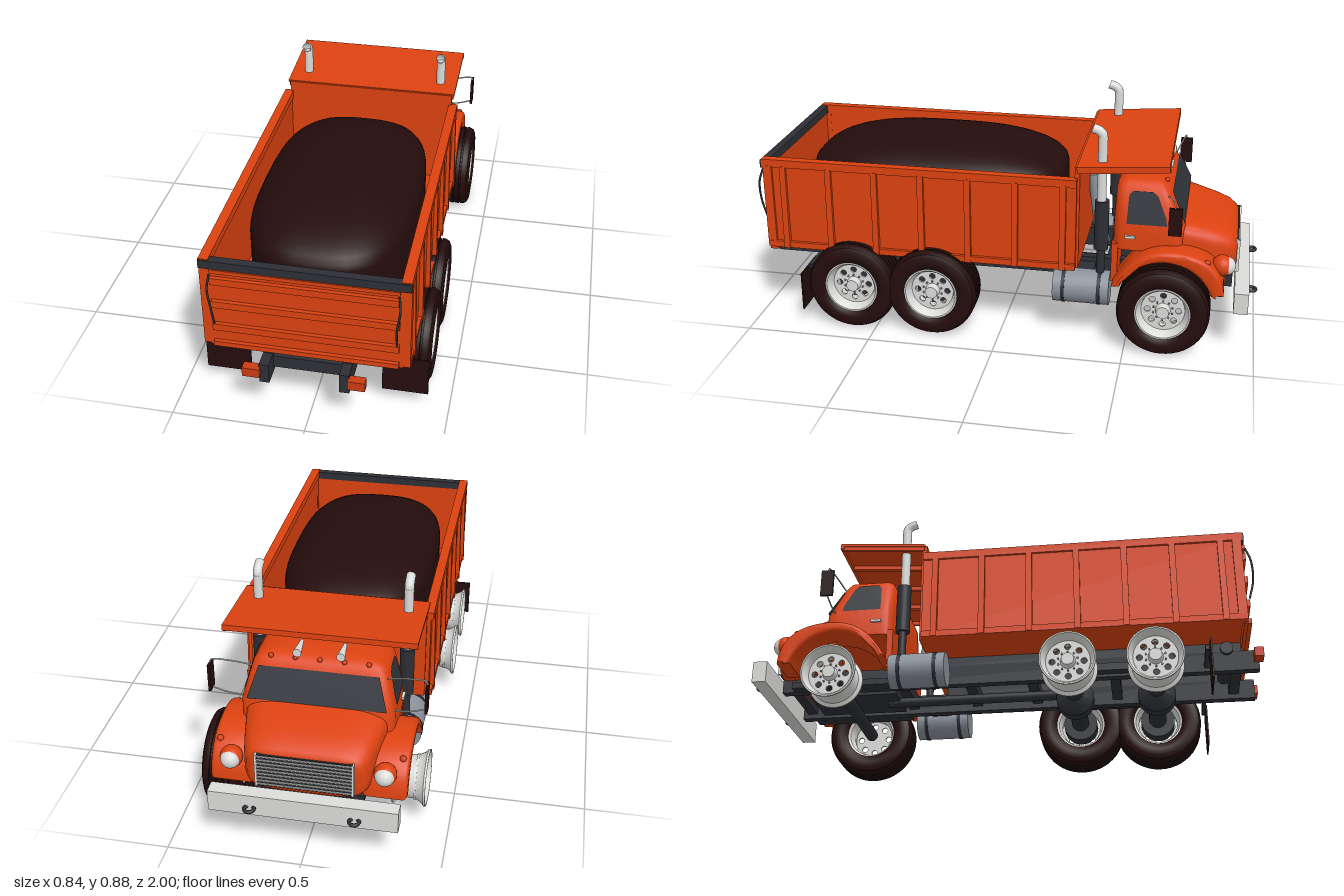
import * as THREE from 'three';
import { toCreasedNormals } from 'three/addons/utils/BufferGeometryUtils.js';

const mat = (name, color, side = THREE.FrontSide) => {
  const m = new THREE.MeshStandardMaterial({ color, side });
  m.name = name;
  return m;
};

export function createModel() {
  const truck = new THREE.Group();
  truck.name = 'dumpTruck';
  const paint = mat('orangePaint', 0xdc4210, THREE.DoubleSide);
  const lampMat = mat('lampOrange', 0xc93c14);
  const dark = mat('darkSteel', 0x2d2f35);
  const rubber = mat('rubber', 0x240c0c, THREE.DoubleSide);
  const chrome = mat('chrome', 0xdcdcda, THREE.DoubleSide);
  const steel = mat('greySteel', 0x8b929b);
  const glass = mat('darkGlass', 0x2f3238, THREE.DoubleSide);

  const add = (name, geo, m, x = 0, y = 0, z = 0, parent = truck) => {
    const mesh = new THREE.Mesh(geo, m);
    mesh.name = name;
    mesh.position.set(x, y, z);
    parent.add(mesh);
    return mesh;
  };
  // box given by its min and max on each axis
  const box = (name, m, x0, x1, y0, y1, z0, z1) =>
    add(name, new THREE.BoxGeometry(x1 - x0, y1 - y0, z1 - z0), m, (x0 + x1) / 2, (y0 + y1) / 2, (z0 + z1) / 2);
  const cyl = (r, len, axis = 'y', r2 = r) => {
    const g = new THREE.CylinderGeometry(r, r2, len, 24);
    if (axis === 'x') g.rotateZ(-Math.PI / 2);
    if (axis === 'z') g.rotateX(Math.PI / 2);
    return g;
  };
  const tube = (name, m, pts, r) => add(name, new THREE.TubeGeometry(
    new THREE.CatmullRomCurve3(pts.map(p => new THREE.Vector3(...p))), 20, r, 10), m);
  // skin over rings of equal point count, closed by end fans
  const loft = (rings, crease = 0.6) => {
    const n = rings[0].length, pos = rings.flat(2), idx = [];
    for (let i = 0; i < rings.length - 1; i++) for (let j = 0; j < n; j++) {
      const a = i * n + j, b = i * n + (j + 1) % n;
      idx.push(a, b, a + n, b, b + n, a + n);
    }
    const last = (rings.length - 1) * n;
    for (let j = 1; j < n - 1; j++) idx.push(0, j + 1, j, last, last + j, last + j + 1);
    const g = new THREE.BufferGeometry();
    g.setAttribute('position', new THREE.Float32BufferAttribute(pos, 3));
    g.setIndex(idx);
    return toCreasedNormals(g, crease);
  };
  // superellipse ring in (a, b)
  const oval = (ha, hb, e, n = 48) => Array.from({ length: n }, (_, i) => {
    const t = i / n * Math.PI * 2, c = Math.cos(t), s = Math.sin(t);
    return [Math.sign(c) * ha * Math.abs(c) ** (2 / e), Math.sign(s) * hb * Math.abs(s) ** (2 / e)];
  });
  const plate = (name, m, pts) => {
    const g = new THREE.BufferGeometry();
    g.setAttribute('position', new THREE.Float32BufferAttribute(pts.flat(), 3));
    g.setIndex(pts.slice(2).flatMap((_, i) => [0, i + 1, i + 2]));
    g.computeVertexNormals();
    return add(name, g, m);
  };

  // ---- wheels: tyres are fitted on the +x side only
  const v2 = ([r, a]) => new THREE.Vector2(r, a);
  const lathe = pts => toCreasedNormals(new THREE.LatheGeometry(pts.map(v2), 48).rotateZ(-Math.PI / 2), 0.6);
  const tread = [-0.036, -0.012, 0.012, 0.036].flatMap(a =>
    [[0.179, a - 0.004], [0.171, a - 0.003], [0.171, a + 0.003], [0.179, a + 0.004]]);
  const tyreGeo = lathe([[0.1, -0.056], [0.108, -0.066], [0.13, -0.075], [0.155, -0.073], [0.17, -0.066], [0.178, -0.052],
    ...tread, [0.178, 0.052], [0.17, 0.066], [0.155, 0.073], [0.13, 0.075], [0.108, 0.066], [0.1, 0.056]]);
  const rimGeo = lathe([[0.106, -0.06], [0.106, -0.054], [0.092, -0.046], [0.08, -0.01], [0.083, 0.025], [0.096, 0.05],
    [0.107, 0.058], [0.107, 0.066], [0.101, 0.066], [0.09, 0.05], [0.084, 0.03]]);
  const disc = new THREE.Shape().absarc(0, 0, 0.086, 0, Math.PI * 2);
  const around = (n, r, f) => { for (let i = 0; i < n; i++) f(r * Math.cos(i / n * 2 * Math.PI), r * Math.sin(i / n * 2 * Math.PI)); };
  around(8, 0.06, (a, b) => disc.holes.push(new THREE.Path().absarc(a, b, 0.012, 0, Math.PI * 2, true)));
  const discGeo = new THREE.ExtrudeGeometry(disc, { depth: 0.008, bevelEnabled: false, curveSegments: 24 }).rotateY(Math.PI / 2);
  for (const z of [0.59, 0.265, -0.645]) for (const s of [1, -1]) {
    const wheel = new THREE.Group();
    wheel.name = 'wheel';
    wheel.position.set(s * 0.345, 0.18, z);
    wheel.rotation.y = s > 0 ? 0 : Math.PI;
    truck.add(wheel);
    if (s > 0) add('tyre', tyreGeo, rubber, 0, 0, 0, wheel);
    add('rim', rimGeo, chrome, 0, 0, 0, wheel);
    add('wheelDisc', discGeo, chrome, 0.02, 0, 0, wheel);
    add('hub', cyl(0.024, 0.03, 'x', 0.03), chrome, 0.04, 0, 0, wheel);
    around(10, 0.038, (a, b) => add('wheelNut', cyl(0.0035, 0.008, 'x'), steel, 0.031, a, b, wheel));
    if (z > 0) add('brakeDrum', cyl(0.07, 0.06, 'x'), dark, -0.03, 0, 0, wheel);
  }

  // ---- chassis
  for (const s of [1, -1]) {
    box('frameRail', dark, s * 0.145 - 0.018, s * 0.145 + 0.018, 0.2, 0.28, -0.9, 0.985);
    box('subframeRail', dark, s * 0.145 - 0.018, s * 0.145 + 0.018, 0.28, 0.33, -0.28, 0.92);
    box('tailLamp', lampMat, s * 0.19 - 0.032, s * 0.19 + 0.032, 0.23, 0.267, 0.965, 1);
    box('mudFlap', rubber, s * 0.335 - 0.086, s * 0.335 + 0.086, 0.068, 0.226, 0.79, 0.796);
    box('flapBracket', dark, s * 0.25 - 0.09, s * 0.25 + 0.09, 0.215, 0.23, 0.775, 0.79);
    add('fuelTank', cyl(0.068, 0.22, 'z'), steel, s * 0.285, 0.212, -0.32);
    for (const z of [-0.39, -0.25]) add('tankStrap', cyl(0.07, 0.014, 'z'), dark, s * 0.285, 0.212, z);
    box('tankBracket', dark, s * 0.2 - 0.05, s * 0.2 + 0.05, 0.22, 0.26, -0.36, -0.28);
    box('springPack', dark, s * 0.185 - 0.02, s * 0.185 + 0.02, 0.2, 0.225, -0.85, -0.44);
    box('rearSpring', dark, s * 0.185 - 0.02, s * 0.185 + 0.02, 0.21, 0.24, 0.22, 0.64);
  }
  for (const z of [0.9, 0.43, 0.1, -0.15, -0.42, -0.86]) box('crossMember', dark, -0.14, 0.14, 0.22, 0.27, z - 0.02, z + 0.02);
  add('bedHinge', cyl(0.025, 0.36, 'x'), dark, 0, 0.29, 0.865);
  for (const z of [0.59, 0.265]) {
    add('rearAxle', cyl(0.036, 0.62, 'x'), dark, 0, 0.184, z);
    add('differential', lathe([[0, -0.065], [0.03, -0.062], [0.075, -0.025], [0.075, 0.025], [0.03, 0.062], [0, 0.065]]), dark, 0, 0.175, z);
  }
  add('driveShaft', cyl(0.02, 0.8, 'z'), dark, 0, 0.2, -0.1);
  add('frontAxle', cyl(0.025, 0.62, 'x'), dark, 0, 0.18, -0.645);
  box('engineSump', dark, -0.1, 0.1, 0.2, 0.3, -0.8, -0.45);
  const ram = add('liftRam', cyl(0.024, 0.3, 'y', 0.03), steel, 0, 0.43, -0.345);
  ram.rotation.x = 0.15;

  // ---- dump bed
  box('bedFloor', paint, -0.35, 0.35, 0.315, 0.33, -0.3, 0.92);
  box('bulkhead', paint, -0.345, 0.345, 0.315, 0.73, -0.31, -0.29);
  for (const s of [1, -1]) {
    box('bedSide', paint, s * 0.35 - 0.01, s * 0.35 + 0.01, 0.315, 0.67, -0.3, 0.935);
    box('topRail', paint, s * 0.352 - 0.018, s * 0.352 + 0.018, 0.655, 0.686, -0.3, 0.945);
    box('lowerRail', paint, s * 0.361 - 0.012, s * 0.361 + 0.012, 0.315, 0.34, -0.3, 0.935);
    box('cornerPost', paint, s * 0.355 - 0.016, s * 0.355 + 0.016, 0.315, 0.66, 0.905, 0.94);
    for (let i = 0; i < 7; i++) {
      const rib = box('sideRib', paint, s * 0.363 - 0.012, s * 0.363 + 0.012, 0.315, 0.66, -0.262 + i * 0.185, -0.238 + i * 0.185);
      rib.rotation.z = s * 0.02;
    }
    tube('tailgateChain', dark, [[s * 0.33, 0.635, 0.955], [s * 0.336, 0.58, 0.972], [s * 0.326, 0.5, 0.975], [s * 0.325, 0.42, 0.955]], 0.004);
  }
  box('tailgate', paint, -0.345, 0.345, 0.31, 0.655, 0.925, 0.94);
  for (const [y, h] of [[0.325, 0.02], [0.4, 0.028], [0.5, 0.028], [0.6, 0.028], [0.643, 0.015]])
    box('tailgateRib', paint, -0.332, 0.332, y - h / 2, y + h / 2, 0.94, 0.955);
  box('tailgateTopBar', dark, -0.37, 0.37, 0.65, 0.682, 0.918, 0.95);
  // heaped load: rounded dome over straight flanks
  const heap = [[0.335, 1], [0.6, 1]];
  for (let i = 1; i <= 10; i++) { const t = i / 10 * Math.PI / 2; heap.push([0.6 + 0.135 * Math.sin(t), Math.max(Math.cos(t), 0.01)]); }
  add('load', loft(heap.map(([y, k]) => oval(0.305 * k, 0.52 * k, 2.9).map(([a, b]) => [a, y, 0.305 - b])), 0.9), rubber);

  // ---- canopy over the cab
  const canopy = new THREE.Group();
  canopy.name = 'canopy';
  canopy.position.set(0, 0.728, -0.3);
  canopy.rotation.x = 0.075;
  truck.add(canopy);
  const cbox = (name, w, h, d, x, y, z) => add(name, new THREE.BoxGeometry(w, h, d), paint, x, y, z, canopy);
  cbox('canopyPlate', 0.71, 0.01, 0.345, 0, 0, -0.17);
  cbox('canopyLip', 0.71, 0.022, 0.014, 0, -0.006, -0.337);
  for (const s of [1, -1]) cbox('canopyFlange', 0.012, 0.022, 0.34, s * 0.345, -0.01, -0.17);
  for (const x of [-0.18, 0, 0.18]) cbox('canopyRib', 0.02, 0.02, 0.33, x, -0.012, -0.165);

  // ---- cab, hood and fenders
  const cabRings = [[0.38, 0.285, -0.43, -0.71], [0.48, 0.285, -0.43, -0.71], [0.61, 0.25, -0.435, -0.65],
    [0.635, 0.235, -0.445, -0.635], [0.648, 0.205, -0.465, -0.61], [0.655, 0.14, -0.49, -0.58]];
  add('cab', loft(cabRings.map(([y, w, z0, z1]) => oval(w, (z0 - z1) / 2, 9).map(([a, b]) => [a, y, (z0 + z1) / 2 - b])), 0.7), paint);
  box('cabRearSkirt', paint, -0.28, 0.28, 0.24, 0.4, -0.455, -0.43);
  const hoodRings = [[-0.66, 0.268, 0.505, 0.32], [-0.74, 0.255, 0.488, 0.28], [-0.82, 0.24, 0.468, 0.25], [-0.87, 0.228, 0.45, 0.245],
    [-0.898, 0.212, 0.43, 0.25], [-0.91, 0.19, 0.415, 0.265]];
  add('hood', loft(hoodRings.map(([z, w, t, b]) => oval(w, (t - b) / 2, 4.5).map(([a, c]) => [-a, (t + b) / 2 + c, z])), 0.9), paint);
  // fender outline drawn with u = -z
  const arch = new THREE.Shape();
  arch.moveTo(0.44, 0.25);
  arch.bezierCurveTo(0.5, 0.36, 0.56, 0.41, 0.66, 0.412);
  arch.bezierCurveTo(0.77, 0.412, 0.865, 0.37, 0.87, 0.245);
  arch.lineTo(0.818, 0.245);
  arch.absarc(0.645, 0.18, 0.187, 0.36, Math.PI - 0.39, false);
  const fenderGeo = toCreasedNormals(new THREE.ExtrudeGeometry(arch, { depth: 0.13, bevelThickness: 0.016, bevelSize: 0.016,
    bevelOffset: -0.016, bevelSegments: 4, curveSegments: 20 }).rotateY(Math.PI / 2), 0.7);
  for (const s of [1, -1]) {
    add('fender', fenderGeo, paint, s > 0 ? 0.214 : -0.344);
    plate('sideWindow', glass, [[0.49, -0.485], [0.49, -0.64], [0.52, -0.635], [0.6, -0.6], [0.615, -0.58], [0.615, -0.505], [0.6, -0.49]]
      .map(([y, z]) => [s * (0.288 - (Math.min(y, 0.61) - 0.48) * 0.27), y, z]));
    box('doorHandle', chrome, s * 0.289 - 0.006, s * 0.289 + 0.006, 0.432, 0.442, -0.52, -0.48);
    add('headlightShell', new THREE.SphereGeometry(0.042, 20, 14), paint, s * 0.28, 0.345, -0.858);
    add('headlight', new THREE.SphereGeometry(0.036, 20, 14), chrome, s * 0.28, 0.345, -0.873);
    add('turnSignal', new THREE.SphereGeometry(0.013, 12, 8), lampMat, s * 0.335, 0.375, -0.8);
    // mirror on its bracket
    box('mirror', rubber, s * 0.397 - 0.005, s * 0.397 + 0.005, 0.505, 0.615, -0.7, -0.65);
    tube('mirrorArm', chrome, [[s * 0.25, 0.6, -0.64], [s * 0.33, 0.622, -0.66], [s * 0.395, 0.625, -0.672], [s * 0.397, 0.6, -0.674]], 0.003);
    tube('mirrorBrace', chrome, [[s * 0.28, 0.485, -0.67], [s * 0.34, 0.492, -0.672], [s * 0.397, 0.51, -0.674]], 0.003);
    // exhaust stack
    add('muffler', cyl(0.028, 0.2), dark, s * 0.285, 0.48, -0.39);
    add('mufflerPipe', cyl(0.016, 0.14), dark, s * 0.285, 0.32, -0.39);
    add('stack', cyl(0.018, 0.26), chrome, s * 0.285, 0.705, -0.387);
    tube('stackElbow', chrome, [[s * 0.285, 0.82, -0.387], [s * 0.285, 0.845, -0.385], [s * 0.285, 0.86, -0.37], [s * 0.285, 0.868, -0.347]], 0.018);
    add('airHorn', cyl(0.006, 0.09, 'z', 0.016), chrome, s * 0.08, 0.672, -0.6);
    const hook = add('towHook', new THREE.TorusGeometry(0.018, 0.007, 8, 16), dark, s * 0.19, 0.21, -0.975);
    hook.rotation.x = Math.PI / 2;
  }
  const shield = [[0.496, 0.258], [0.61, 0.222]].map(([y, w]) => [y, w, -0.713 + (y - 0.48) * 0.4615]);
  plate('windshield', glass, [[-shield[0][1], shield[0][0], shield[0][2]], [-shield[1][1], shield[1][0], shield[1][2]],
    [shield[1][1], shield[1][0], shield[1][2]], [shield[0][1], shield[0][0], shield[0][2]]]);
  for (const x of [-0.18, -0.09, 0, 0.09, 0.18]) add('roofLamp', new THREE.SphereGeometry(0.01, 10, 8), lampMat, x, 0.642, -0.628);

  // ---- grille and bumper
  box('grille', dark, -0.175, 0.175, 0.275, 0.41, -0.916, -0.9);
  for (let i = 0; i < 9; i++) box('grilleBar', chrome, -0.172, 0.172, 0.281 + i * 0.015, 0.286 + i * 0.015, -0.921, -0.912);
  for (const s of [1, -1]) box('grilleFrame', chrome, s * 0.175 - 0.004, s * 0.175 + 0.004, 0.275, 0.41, -0.921, -0.9);
  box('bumper', chrome, -0.345, 0.345, 0.175, 0.26, -0.965, -0.91);
  return truck;
}
